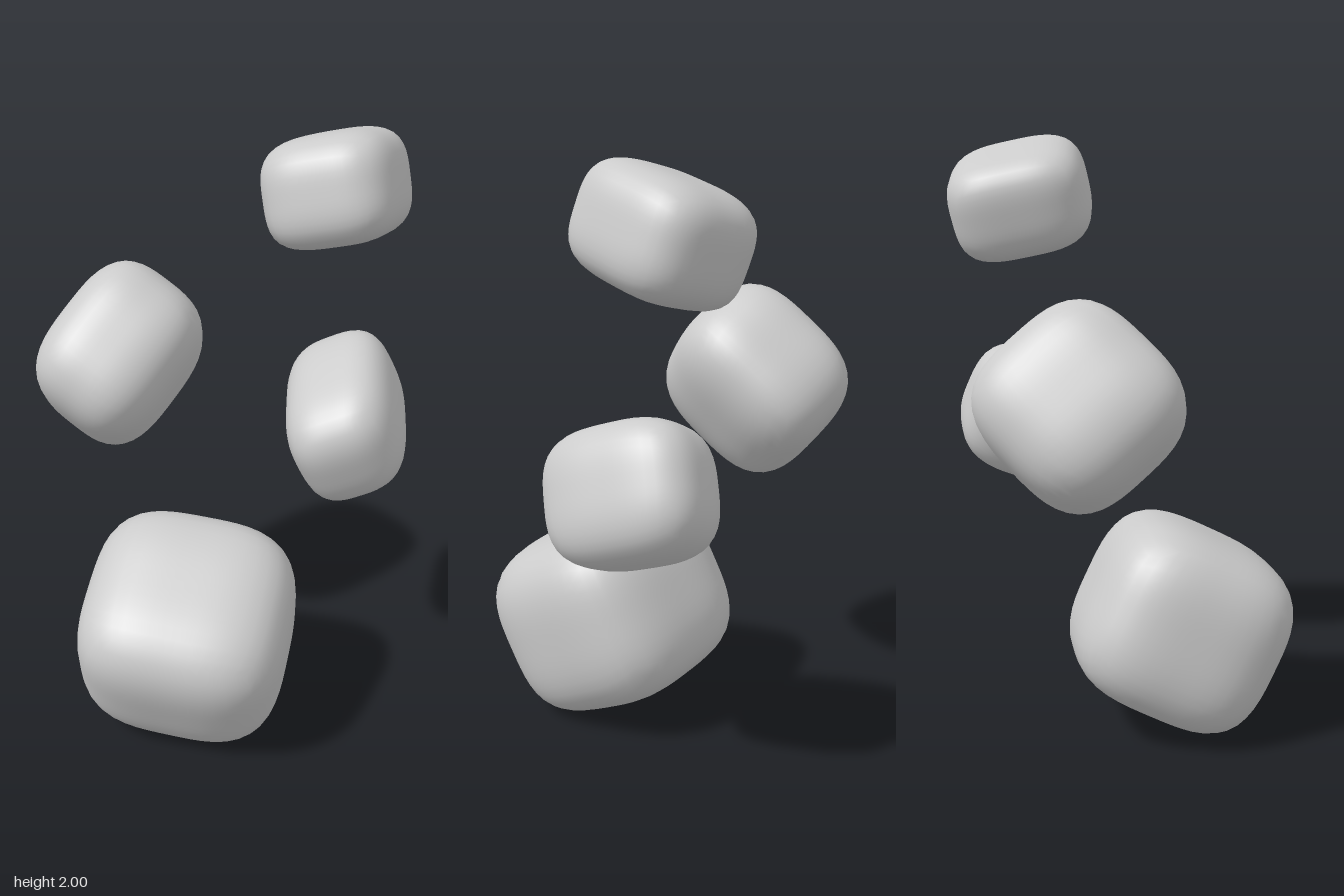
import * as THREE from 'three';
import { mergeVertices } from 'three/addons/utils/BufferGeometryUtils.js';

// Rounded boulder: a cube swollen to a superellipsoid, turned, then sized to its extents
function boulder({ name, size, turn, min, max, power }) {
  let geo = new THREE.BoxGeometry(2, 2, 2, 14, 14, 14);
  geo.deleteAttribute('uv');
  geo.deleteAttribute('normal');
  geo = mergeVertices(geo, 1e-4);

  const pos = geo.attributes.position;
  const v = new THREE.Vector3();
  for (let i = 0; i < pos.count; i++) {
    v.fromBufferAttribute(pos, i);
    // even out the spacing towards the rounded edges
    v.set(...v.toArray().map((c) => Math.tan((c * Math.PI) / 4)));
    const r = v.toArray().reduce((s, c) => s + Math.abs(c) ** power, 0) ** (1 / power);
    v.divideScalar(r);
    pos.setXYZ(i, v.x * size[0], v.y * size[1], v.z * size[2]);
  }

  const [pitch, yaw, roll] = turn;
  geo.applyMatrix4(new THREE.Matrix4().makeRotationFromEuler(new THREE.Euler(pitch, yaw, roll, 'ZXY')));

  // bring this rock to its own extents
  geo.center();
  const have = geo.boundingBox.getSize(new THREE.Vector3());
  const box = new THREE.Box3(new THREE.Vector3(...min), new THREE.Vector3(...max));
  const want = box.getSize(new THREE.Vector3());
  geo.scale(want.x / have.x, want.y / have.y, want.z / have.z);
  geo.computeVertexNormals();

  const mesh = new THREE.Mesh(geo, new THREE.MeshStandardMaterial({ color: 0xcccccc }));
  mesh.name = name;
  box.getCenter(mesh.position);
  return mesh;
}

// size = half width, height, depth before turning; turn = pitch, yaw, roll
const ROCKS = [
  { name: 'largeBottomRock', size: [0.34, 0.31, 0.33], turn: [0.42, 0.28, -0.2],
    min: [-0.32, 0, -0.17], max: [0.435, 0.74, 0.61], power: 3.3 },
  { name: 'middleRock', size: [0.23, 0.28, 0.28], turn: [0.76, 0.04, -0.52],
    min: [-0.615, 0.86, -0.39], max: [-0.07, 1.52, 0.265], power: 3.1 },
  { name: 'smallRock', size: [0.2, 0.21, 0.27], turn: [0.45, 0.3, 0.28],
    min: [0.16, 0.75, -0.61], max: [0.61, 1.27, -0.03], power: 3.1 },
  { name: 'topRock', size: [0.21, 0.17, 0.23], turn: [-0.18, 0.12, 0.28],
    min: [0.07, 1.575, -0.61], max: [0.52, 2, -0.11], power: 3.4 },
];

export function createModel() {
  const group = new THREE.Group();
  group.name = 'floatingRocks';
  for (const rock of ROCKS) group.add(boulder(rock));
  return group;
}
